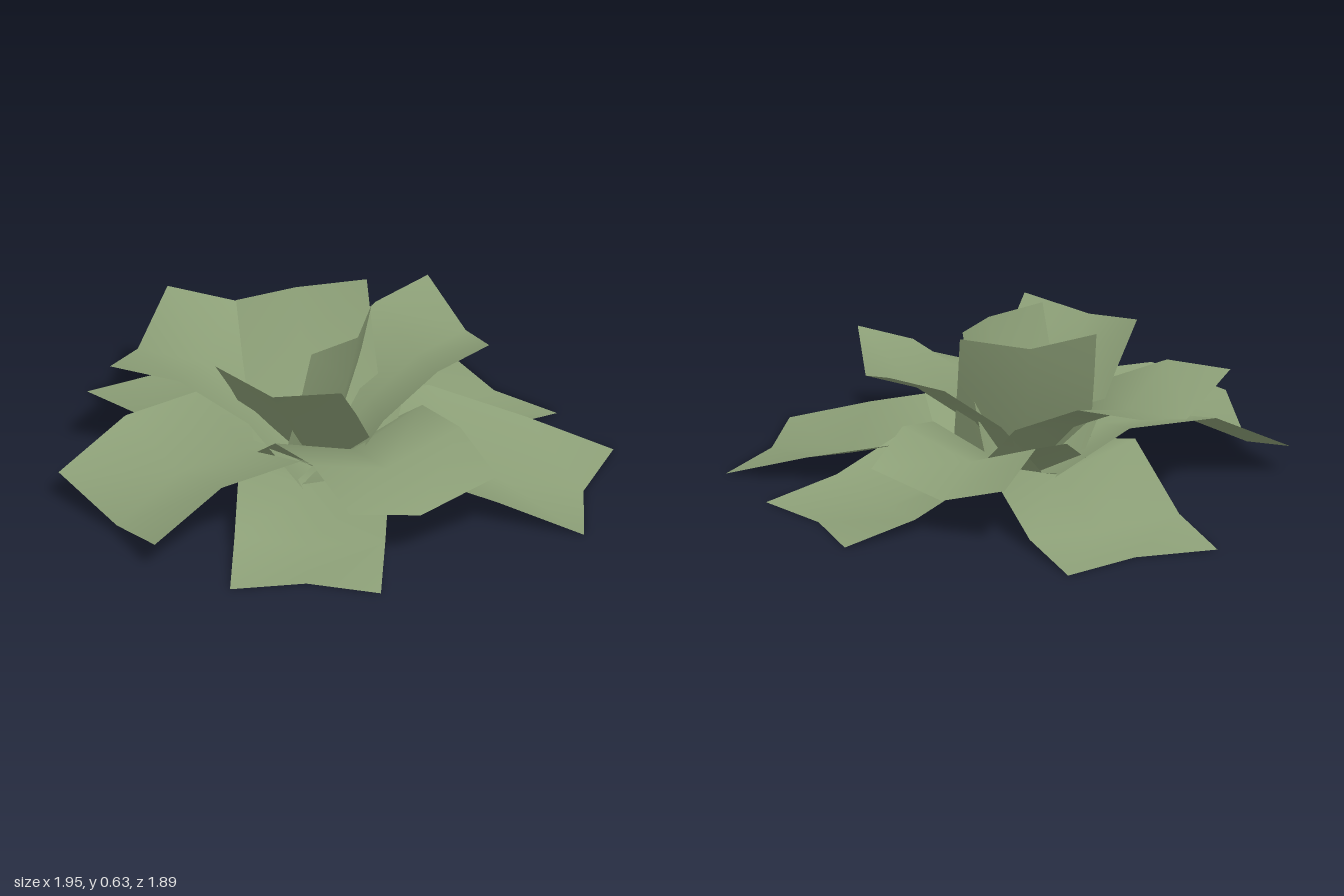
import * as THREE from 'three';

const leafGreen = new THREE.MeshStandardMaterial({ color: 0x8c9f77, side: THREE.DoubleSide });
leafGreen.name = 'leaf green';
const witheredBrown = new THREE.MeshStandardMaterial({ color: 0x7d6a2e, side: THREE.DoubleSide });
witheredBrown.name = 'withered brown';

// A strip leaf folded along its midrib. dx, dz: heading; w: half width;
// rib: midrib points [distance, height]; lift: rise of the edges along the rib normal.
function leaf(name, dx, dz, w, rib, lift = 0.095, material = leafGreen, ox = 0, oz = 0) {
  const len = Math.hypot(dx, dz);
  const fx = dx / len, fz = dz / len;
  const pos = [], index = [];
  rib.forEach(([r, y], i) => {
    const a = rib[Math.max(i - 1, 0)], b = rib[Math.min(i + 1, rib.length - 1)];
    const tr = b[0] - a[0], ty = b[1] - a[1], t = Math.hypot(tr, ty);
    for (const j of [-1, 0, 1]) {
      const k = Math.abs(j) * lift;
      const er = r - (ty / t) * k, ey = y + (tr / t) * k;
      // leaves that droop to the ground lie flat on it
      pos.push(ox + fx * er + fz * w * j, Math.max(ey, 0), oz + fz * er - fx * w * j);
    }
    if (i < rib.length - 1) {
      for (let j = 0; j < 2; j++) {
        const p = i * 3 + j;
        index.push(p, p + 3, p + 1, p + 1, p + 3, p + 4);
      }
    }
  });
  const g = new THREE.BufferGeometry();
  g.setAttribute('position', new THREE.Float32BufferAttribute(pos, 3));
  g.setIndex(index);
  g.computeVertexNormals();
  const mesh = new THREE.Mesh(g, material);
  mesh.name = name;
  return mesh;
}

export function createModel() {
  const plant = new THREE.Group();
  plant.name = 'rosettePlant';
  const base = [0.015, 0.02];

  // Outer ring, drooping to the ground
  const outer = [
    [-1, 0.035, 0.305, [[0.3, 0.12], [0.61, -0.04], [0.91, -0.3]]],
    [0.72, -0.69, 0.32, [[0.35, 0.11], [0.67, 0.02], [0.976, -0.2]]],
    [0.77, 0.64, 0.275, [[0.28, 0.09], [0.57, -0.03], [0.85, -0.24]]],
    [-0.1, -0.99, 0.28, [[0.28, 0.09], [0.57, -0.03], [0.86, -0.24]]],
    [-0.06, 1, 0.32, [[0.32, 0.18], [0.61, 0.175], [0.88, 0.035]]],
  ];
  // Middle ring, spreading
  const middle = [
    [-0.63, -0.78, 0.27, [[0.22, 0.16], [0.43, 0.215], [0.664, 0.14]]],
    [0.99, 0.15, 0.303, [[0.27, 0.215], [0.52, 0.26], [0.79, 0.2]]],
    [-0.83, 0.56, 0.315, [[0.22, 0.25], [0.45, 0.36], [0.7, 0.37]]],
    [0.23, -0.97, 0.283, [[0.2, 0.25], [0.39, 0.39], [0.58, 0.45]]],
  ];
  // Inner ring, nearly upright
  const inner = [
    [0.5, 0.866, 0.25, [[0.16, 0.19], [0.29, 0.36], [0.427, 0.52]]],
    [-0.95, -0.32, 0.25, [[0.11, 0.22], [0.2, 0.41], [0.276, 0.61]]],
    [0.92, -0.39, 0.217, [[0.07, 0.21], [0.12, 0.4], [0.163, 0.595]]],
  ];
  const rings = { outerLeaf: outer, middleLeaf: middle, innerLeaf: inner };
  for (const [name, leaves] of Object.entries(rings)) {
    leaves.forEach(([dx, dz, w, rib], i) => {
      const lift = name === 'innerLeaf' ? 0.07 : 0.095;
      plant.add(leaf(name + (i + 1), dx, dz, w, [base, ...rib], lift));
    });
  }

  // Small dead leaf lying under the rosette
  plant.add(leaf('witheredLeaf', -0.93, 0.37, 0.11,
    [[0, 0.005], [0.14, 0.02], [0.28, 0.015], [0.38, 0.005]], 0.025, witheredBrown, 0.22, 0.01));
  return plant;
}
